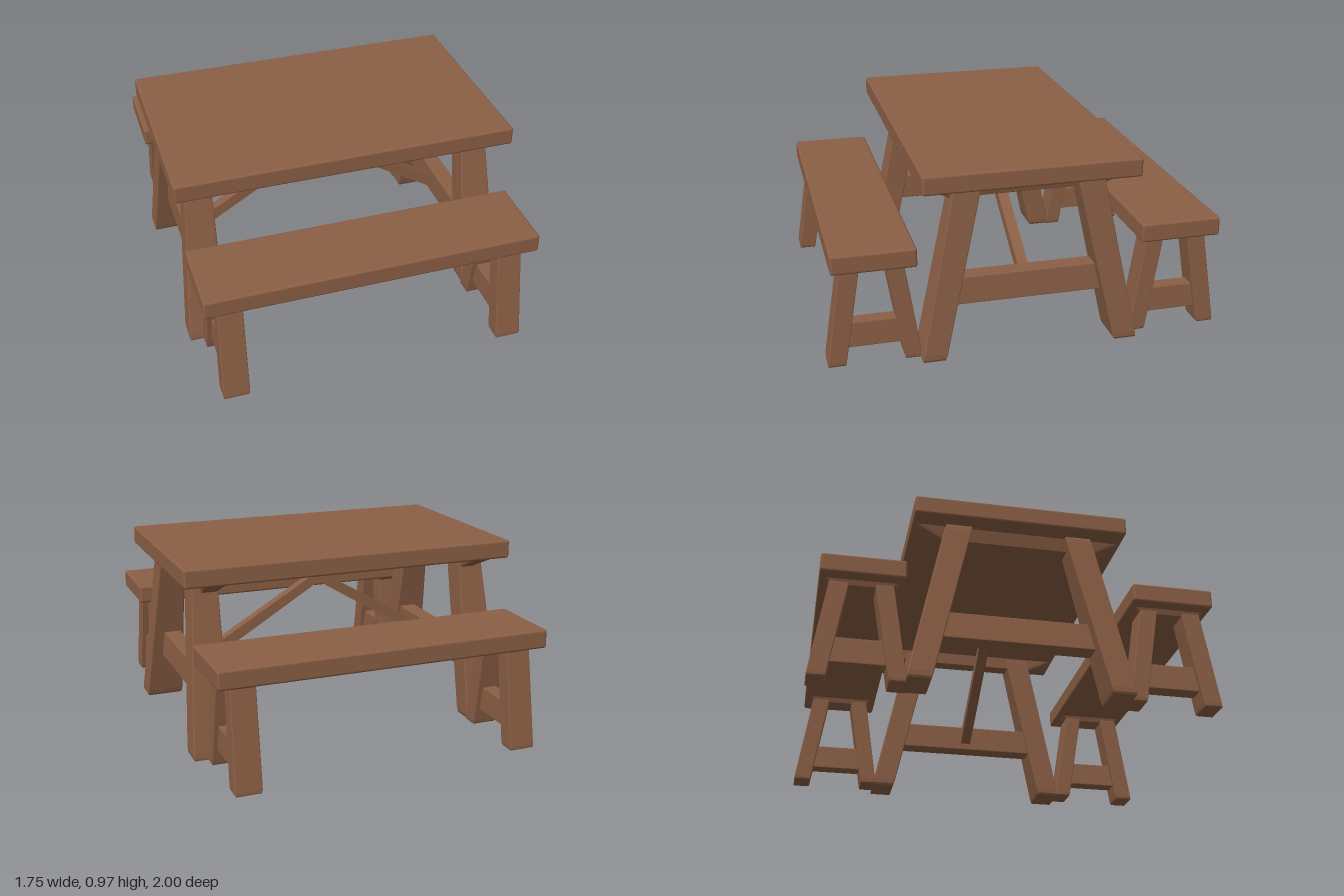
import * as THREE from 'three';
import { RoundedBoxGeometry } from 'three/addons/geometries/RoundedBoxGeometry.js';

const wood = new THREE.MeshStandardMaterial({ color: 0x8b5f45 });
wood.name = 'brownWood';

function add(parent, name, geometry, x = 0, y = 0, z = 0) {
  const mesh = new THREE.Mesh(geometry, wood);
  mesh.name = name;
  mesh.position.set(x, y, z);
  parent.add(mesh);
  return mesh;
}

// Plank with softly worn edges, given by its limits
function plank(parent, name, [x0, x1], [y0, y1], [z0, z1], r = 0.012) {
  const g = new RoundedBoxGeometry(x1 - x0, y1 - y0, z1 - z0, 2, r);
  return add(parent, name, g, (x0 + x1) / 2, (y0 + y1) / 2, (z0 + z1) / 2);
}

// Tapered, leaning timber between a bottom and a top rectangle [x0, x1, z0, z1]
function timber(parent, name, y0, y1, bottom, top) {
  const g = new RoundedBoxGeometry(1, 1, 1, 1, 0.04);
  const p = g.attributes.position;
  const lerp = THREE.MathUtils.lerp;
  for (let i = 0; i < p.count; i++) {
    const t = p.getY(i) + 0.5;
    const [x0, x1, z0, z1] = bottom.map((b, k) => lerp(b, top[k], t));
    p.setXYZ(i, lerp(x0, x1, p.getX(i) + 0.5), lerp(y0, y1, t), lerp(z0, z1, p.getZ(i) + 0.5));
  }
  g.computeVertexNormals();
  return add(parent, name, g);
}

// Mirrors a rectangle by the signs of x and z
function flip([x0, x1, z0, z1], sx, sz) {
  const xs = sx > 0 ? [x0, x1] : [-x1, -x0];
  const zs = sz > 0 ? [z0, z1] : [-z1, -z0];
  return [...xs, ...zs];
}

function createTable() {
  const table = new THREE.Group();
  table.name = 'table';
  plank(table, 'tableTop', [-0.875, 0.875], [0.877, 0.972], [-0.535, 0.535]);
  for (const sx of [-1, 1]) {
    for (const sz of [-1, 1]) {
      timber(table, 'tableLeg', 0.005, 0.88,
        flip([0.66, 0.862, 0.43, 0.55], sx, sz), flip([0.665, 0.795, 0.235, 0.37], sx, sz));
    }
    // Cleat below the top, tapered to its ends
    timber(table, 'tableCleat', 0.81, 0.88,
      flip([0.672, 0.75, -0.38, 0.38], sx, 1), flip([0.665, 0.77, -0.53, 0.53], sx, 1));
    timber(table, 'tableStretcher', 0.26, 0.4,
      flip([0.68, 0.78, -0.42, 0.42], sx, 1), flip([0.68, 0.77, -0.4, 0.4], sx, 1));
  }
  // Pitched brace joining the two stretchers
  const shape = new THREE.Shape();
  [[-0.7, 0.285], [-0.7, 0.355], [0, 0.77], [0.7, 0.355], [0.7, 0.285], [0, 0.712]]
    .forEach(([x, y], i) => (i ? shape.lineTo(x, y) : shape.moveTo(x, y)));
  add(table, 'pitchedBrace',
    new THREE.ExtrudeGeometry(shape, { depth: 0.055, bevelEnabled: false }), 0, 0, -0.035);
  return table;
}

function createBench(sz) {
  const bench = new THREE.Group();
  bench.name = sz > 0 ? 'frontBench' : 'backBench';
  const zs = (a, b) => (sz > 0 ? [a, b] : [-b, -a]);
  plank(bench, 'benchSeat', [-0.85, 0.85], [0.517, 0.613], zs(0.56, 0.97));
  for (const sx of [-1, 1]) {
    timber(bench, 'outerBenchLeg', 0.005, 0.52,
      flip([0.655, 0.79, 0.91, 1], sx, sz), flip([0.655, 0.78, 0.825, 0.92], sx, sz));
    timber(bench, 'innerBenchLeg', 0.005, 0.52,
      flip([0.655, 0.79, 0.535, 0.62], sx, sz), flip([0.655, 0.78, 0.615, 0.705], sx, sz));
    timber(bench, 'benchCleat', 0.49, 0.52,
      flip([0.66, 0.775, 0.62, 0.91], sx, sz), flip([0.65, 0.785, 0.58, 0.945], sx, sz));
    timber(bench, 'benchStretcher', 0.09, 0.22,
      flip([0.68, 0.765, 0.58, 0.95], sx, sz), flip([0.685, 0.76, 0.59, 0.93], sx, sz));
  }
  return bench;
}

export function createModel() {
  const model = new THREE.Group();
  model.name = 'picnicTableWithBenches';
  model.add(createTable(), createBench(1), createBench(-1));
  return model;
}
